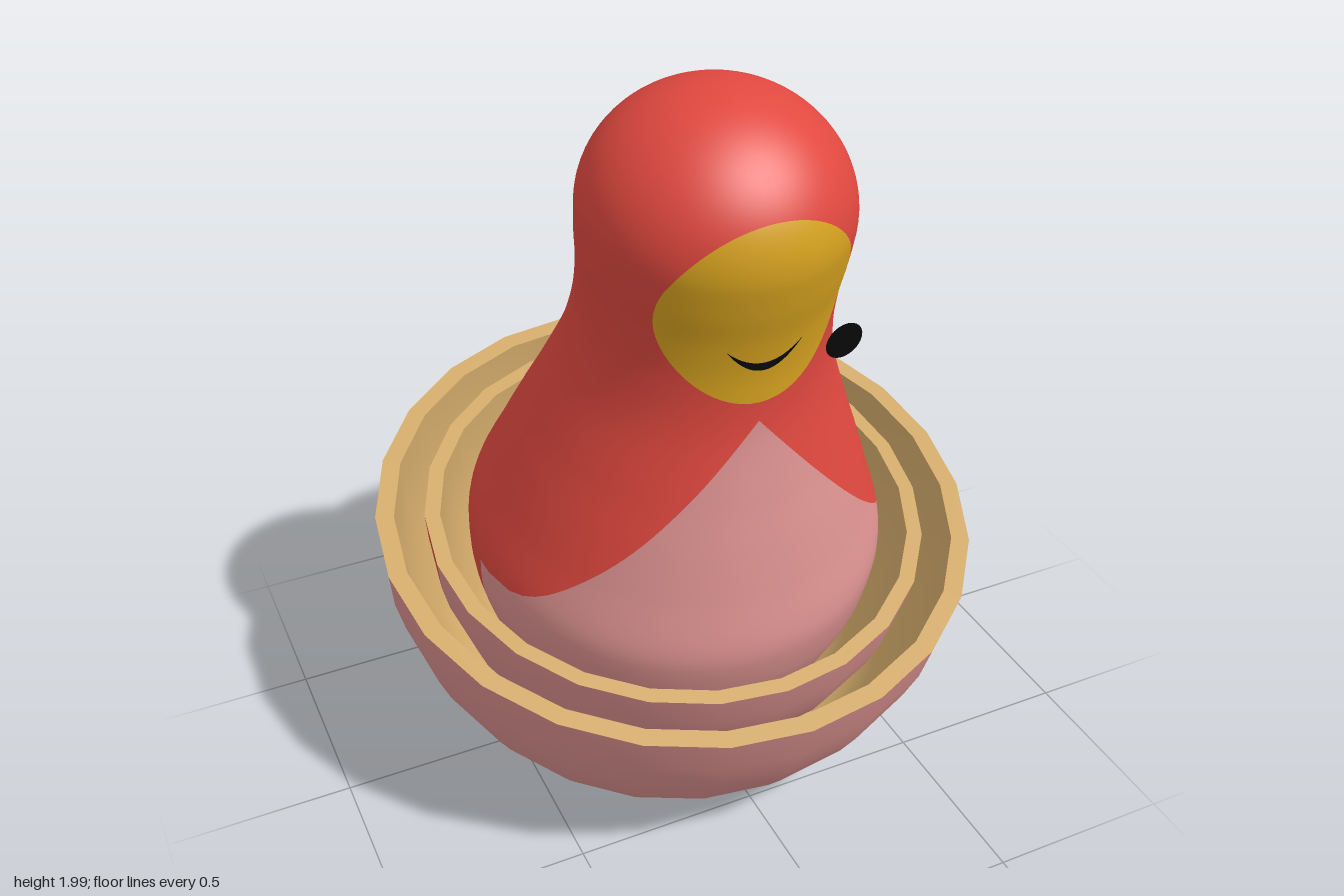
import * as THREE from 'three';

const mat = (name, color, side = THREE.FrontSide) => {
  const m = new THREE.MeshStandardMaterial({ color, side });
  m.name = name;
  return m;
};

// Body profile: spline up to the head, then an elliptical cap
const HEAD = 1.6, TOP = 1.9;
const profile = new THREE.SplineCurve([
  [0.39, 0.1], [0.5, 0.25], [0.552, 0.39], [0.57, 0.5], [0.566, 0.6], [0.513, 0.745],
  [0.465, 0.87], [0.414, 0.996], [0.353, 1.164], [0.327, 1.3], [0.324, 1.42], [0.333, 1.52], [0.337, HEAD],
].map(([r, h]) => new THREE.Vector2(r, h)));

function radiusAt(h) {
  if (h >= HEAD) return 0.337 * Math.sqrt(Math.max(0, 1 - ((h - HEAD) / (TOP - HEAD)) ** 2));
  let lo = 0, hi = 1;
  for (let i = 0; i < 30; i++) {
    const mid = (lo + hi) / 2;
    if (profile.getPoint(mid).y < h) lo = mid; else hi = mid;
  }
  return profile.getPoint(lo).x;
}

// Half-angle of the painted front area at each height (bib triangle, face circle)
const BIB_TIP = 1.203, FACE_Y = 1.505, FACE_R = 0.25;
function frontAngle(h) {
  let x = 0;
  if (h < BIB_TIP) x = (BIB_TIP - h) / 1.13;
  else x = Math.sqrt(Math.max(0, FACE_R ** 2 - (h - FACE_Y) ** 2));
  return x < 1e-5 ? 0 : Math.asin(Math.min(1, x / radiusAt(h)));
}

// Grid geometry from a point rule; point(i, j) returns [position, normal]
function grid(rows, cols, point) {
  const pos = [], nor = [], idx = [];
  for (let i = 0; i <= rows; i++) {
    for (let j = 0; j <= cols; j++) {
      const [p, n] = point(i, j / cols);
      pos.push(...p);
      nor.push(...n);
      if (i < rows && j < cols) {
        const a = i * (cols + 1) + j, d = a + cols + 1;
        idx.push(a, a + 1, d + 1, a, d + 1, d);
      }
    }
  }
  const g = new THREE.BufferGeometry();
  g.setAttribute('position', new THREE.Float32BufferAttribute(pos, 3));
  g.setAttribute('normal', new THREE.Float32BufferAttribute(nor, 3));
  g.setIndex(idx);
  return g;
}

// Point and normal on the body at a height and angle from the front
function onBody(h, angle) {
  const r = radiusAt(h), e = 0.002;
  const top = Math.min(h + e, TOP), low = Math.max(h - e, 0.1);
  const slope = (radiusAt(top) - radiusAt(low)) / (top - low);
  const s = Math.sin(angle), c = Math.cos(angle), len = Math.hypot(1, slope);
  return [[r * s, h, r * c], [s / len, -slope / len, c / len]];
}

function bodyPatch(heights, cols, range) {
  return grid(heights.length - 1, cols, (i, v) => {
    const [a, b] = range(frontAngle(heights[i]));
    return onBody(heights[i], a + (b - a) * v);
  });
}

const steps = (a, b, n, ease = (t) => t) =>
  Array.from({ length: n + 1 }, (_, i) => a + (b - a) * ease(i / n));

export function createModel() {
  const red = mat('red paint', 0xe0483f);
  const pink = mat('pink paint', 0xdc9290);
  const wood = mat('bare wood', 0xd2aa6a);
  const gold = mat('gold face', 0xdaa520);
  const black = mat('black paint', 0x0a0a0a, THREE.DoubleSide);

  const model = new THREE.Group();
  model.name = 'nestingDoll';
  const doll = new THREE.Group();
  doll.name = 'tiltedDoll';
  doll.position.set(0, 0.1325, -0.115);
  doll.rotation.x = 0.222;
  model.add(doll);

  const add = (parent, name, geometry, material) => {
    const m = new THREE.Mesh(geometry, material);
    m.name = name;
    parent.add(m);
    return m;
  };

  // Body, bib and face share the same boundary, so they meet without gaps
  const bibRows = [...steps(0.1, 0.55, 10), ...steps(0.56, BIB_TIP, 28)];
  const faceRows = steps(FACE_Y - FACE_R, FACE_Y + FACE_R, 32, (t) => (1 - Math.cos(Math.PI * t)) / 2);
  const capRows = steps(FACE_Y + FACE_R, TOP, 14, (t) => Math.sin(t * Math.PI / 2)).slice(1);
  add(doll, 'body', bodyPatch([...bibRows, 1.23, ...faceRows, ...capRows], 56, (a) => [a, 2 * Math.PI - a]), red);
  add(doll, 'bib', bodyPatch(bibRows, 28, (a) => [-a, a]), pink);
  add(doll, 'face', bodyPatch(faceRows, 20, (a) => [-a, a]), gold);

  // Smile painted on the face
  add(doll, 'smile', grid(20, 2, (i, v) => {
    const t = i / 10 - 1;
    const h = 1.354 + 0.068 * t * t + 0.024 * (1 - t * t) * v;
    const r = radiusAt(h) + 0.004;
    const angle = Math.asin(0.1 * t / r);
    const s = Math.sin(angle), c = Math.cos(angle);
    return [[r * s, h, r * c], [s, 0, c]];
  }), black);

  // Single eye disc standing off the face
  const eye = add(doll, 'eye', new THREE.CircleGeometry(0.05, 24), black);
  eye.scale.x = 0.9;
  eye.position.set(0.08, 1.566, 0.498);

  // Nested bowls: painted halves outside, bare wood inside
  const outer = [[0.59, 0], [0.645, 0.08], [0.7, 0.165], [0.745, 0.25], [0.783, 0.35], [0.811, 0.46], [0.825, 0.578]];
  const vec = (pts) => pts.map(([r, h]) => new THREE.Vector2(r, h));
  const inner = outer.map(([r, h]) => [r - 0.05, Math.max(h, 0.05)]).reverse();
  function bowl(name, scale, y) {
    const g = new THREE.Group();
    g.name = name;
    g.scale.setScalar(scale);
    g.position.y = y;
    [['front', -Math.PI / 2, pink], ['back', Math.PI / 2, red]].forEach(([half, start, material]) => {
      add(g, half + 'Wall', new THREE.LatheGeometry(vec(outer), 12, start, Math.PI), material);
      add(g, half + 'Base', new THREE.LatheGeometry(vec([[0, 0], outer[0]]), 12, start, Math.PI), material);
    });
    add(g, 'rim', new THREE.LatheGeometry(vec([outer[6], inner[0]]), 24), wood);
    add(g, 'inside', new THREE.LatheGeometry(vec(inner), 24), wood);
    add(g, 'floor', new THREE.LatheGeometry(vec([inner[6], [0, 0.05]]), 24), wood);
    doll.add(g);
  }
  bowl('outerBowl', 1, 0);
  bowl('innerBowl', 0.84, 0.09);

  return model;
}
